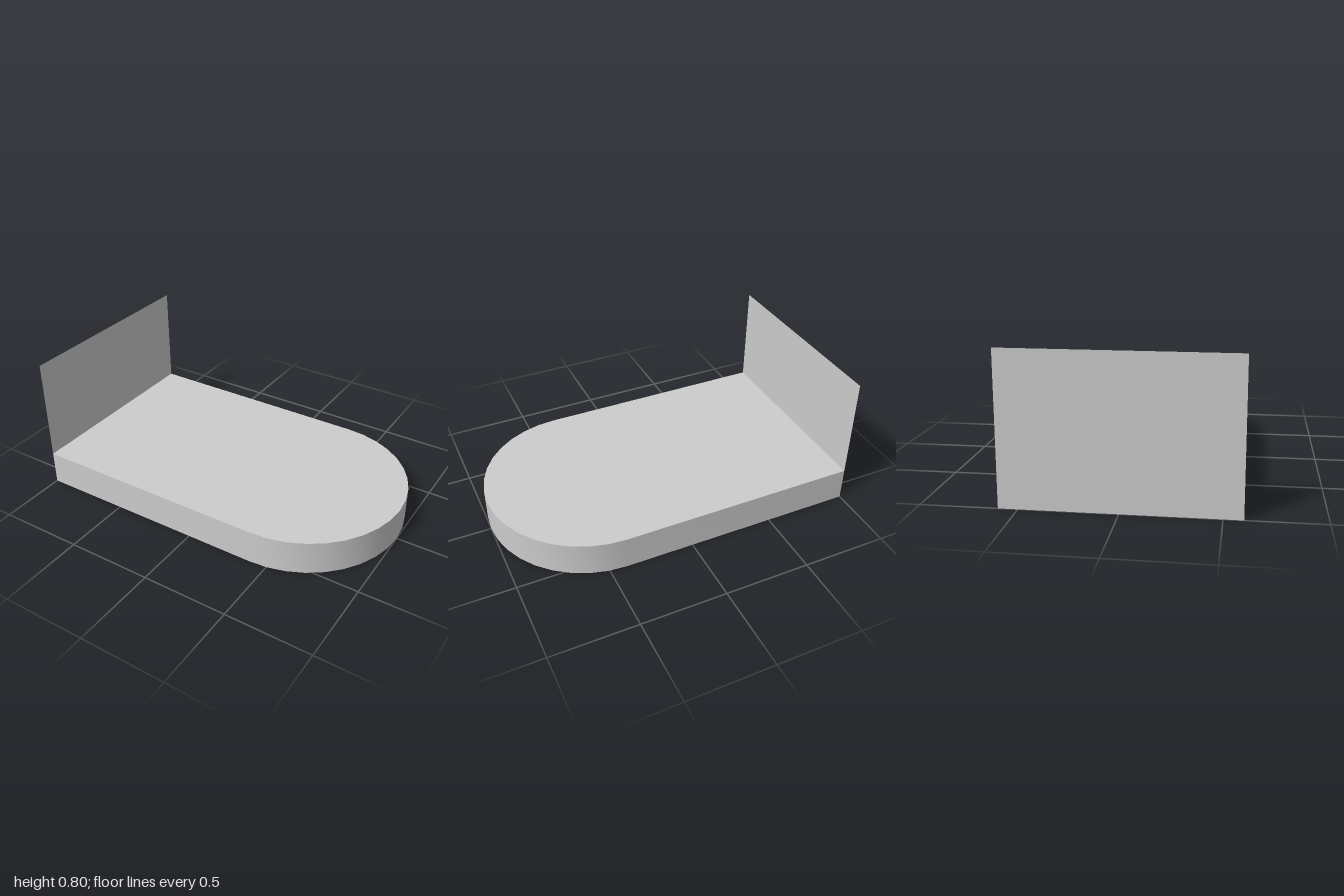
import * as THREE from 'three';
import { toCreasedNormals } from 'three/addons/utils/BufferGeometryUtils.js';

const HALF_WIDTH = 0.6;
const THICKNESS = 0.2;
const HEIGHT = 0.8;

export function createModel() {
  const model = new THREE.Group();
  model.name = 'roundedSlabWithEndPanel';

  const grey = new THREE.MeshStandardMaterial({ color: 0xcccccc, side: THREE.DoubleSide });
  grey.name = 'lightGrey';

  // Slab: square at one end, half round at the other
  const outline = new THREE.Shape();
  outline.moveTo(-1, -HALF_WIDTH);
  outline.lineTo(0.4, -HALF_WIDTH);
  outline.absarc(0.4, 0, HALF_WIDTH, -Math.PI / 2, Math.PI / 2, false);
  outline.lineTo(-1, HALF_WIDTH);
  outline.closePath();
  const slabGeometry = new THREE.ExtrudeGeometry(outline, {
    depth: THICKNESS, bevelEnabled: false, curveSegments: 9,
  });
  slabGeometry.rotateX(-Math.PI / 2);
  const slab = new THREE.Mesh(toCreasedNormals(slabGeometry, 0.6), grey);
  slab.name = 'slab';
  model.add(slab);

  // Thin upright panel flush with the square end
  const panelGeometry = new THREE.PlaneGeometry(2 * HALF_WIDTH, HEIGHT - THICKNESS);
  panelGeometry.rotateY(-Math.PI / 2);
  const panel = new THREE.Mesh(panelGeometry, grey);
  panel.name = 'endPanel';
  panel.position.set(-1, (HEIGHT + THICKNESS) / 2, 0);
  model.add(panel);

  return model;
}
